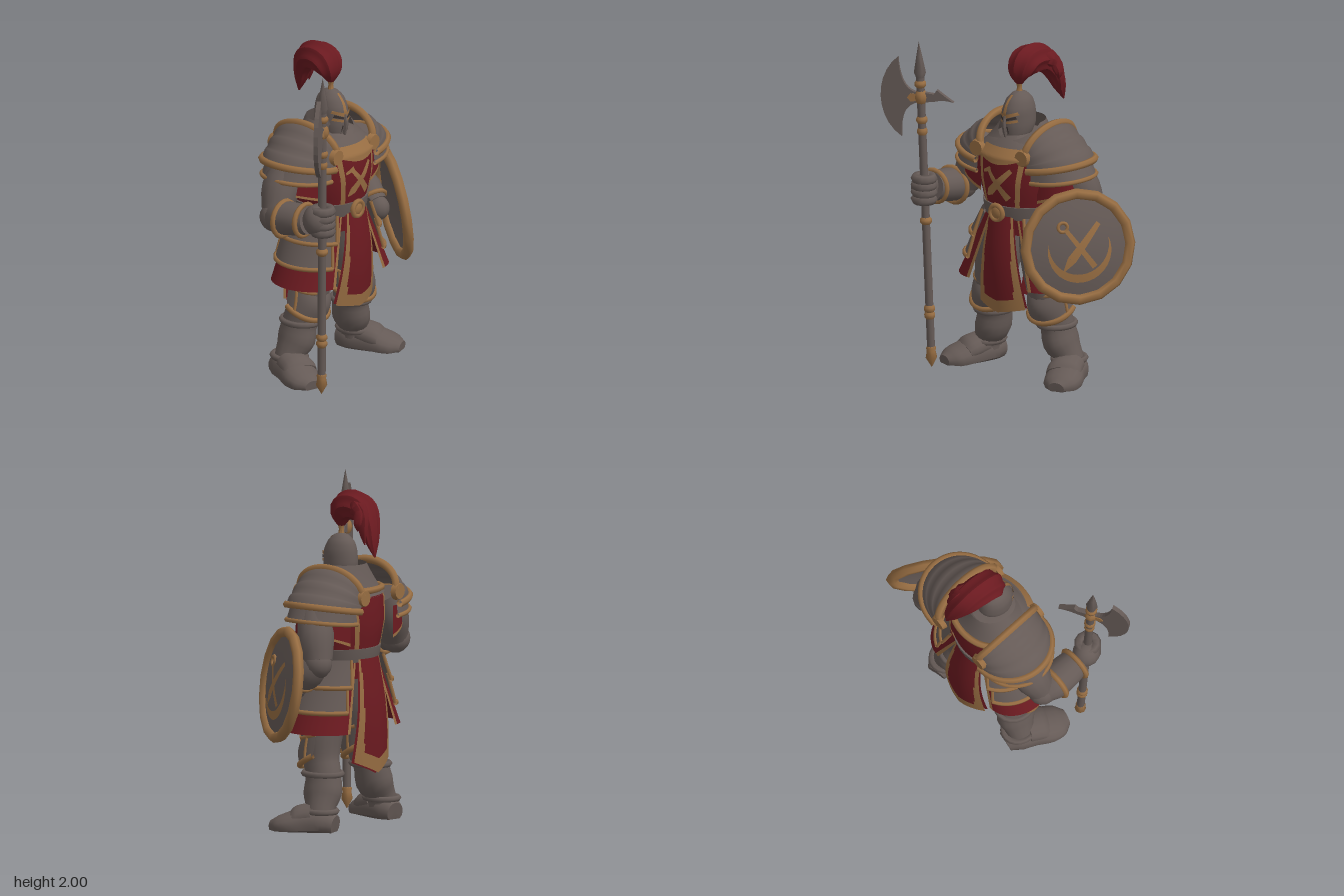
import * as THREE from 'three';
import { toCreasedNormals } from 'three/addons/utils/BufferGeometryUtils.js';

const V = (x, y, z) => new THREE.Vector3(x, y, z);
const mat = (name, color) => Object.assign(new THREE.MeshStandardMaterial({ color, side: THREE.DoubleSide }), { name });
const { sin, cos, PI, abs, sqrt, max } = Math;
const mix = (a, b, t) => a + (b - a) * t;
const UP = V(0, 1, 0);

export function createModel() {
  const steel = mat('steel', 0x655a56), gold = mat('gold', 0x976d42);
  const red = mat('redCloth', 0x6b1a20), dark = mat('darkOpening', 0x3a3230);
  const root = new THREE.Group();
  const group = (name, p, parent = root) => {
    const g = new THREE.Group();
    g.name = name; g.position.set(...p); parent.add(g);
    return g;
  };
  const add = (name, geo, m, parent = root, p = [0, 0, 0]) => {
    const mesh = new THREE.Mesh(geo, m);
    mesh.name = name; mesh.position.set(...p); parent.add(mesh);
    return mesh;
  };
  const ball = (name, m, p, s) => add(name, new THREE.SphereGeometry(1, 14, 10), m, root, p).scale.set(...s);
  const ring = (name, m, p, r, tube, parent = root, seg = 20) => add(name, new THREE.TorusGeometry(r, tube, 6, seg), m, parent, p);
  const build = (pos, idx) => {
    const g = new THREE.BufferGeometry();
    g.setAttribute('position', new THREE.Float32BufferAttribute(pos, 3));
    g.setIndex(idx);
    return g;
  };

  // Solid from rows [x, y, z, radiusA, radiusB] along a path, kept above the floor
  function sweep(name, rows, m, { ref = V(0, 0, 1), k = 3, n = 16, ripple = 0, axis = null, parent = root } = {}) {
    const path = new THREE.CatmullRomCurve3(rows.map(r => V(r[0], r[1], r[2])));
    const size = new THREE.CatmullRomCurve3(rows.map(r => V(r[3], r[4], 0)));
    const count = (rows.length - 1) * k, last = count * n, pos = [], idx = [];
    const P = Array.from({ length: count + 1 }, (_, i) => path.getPoint(i / count));
    P.forEach((p, i) => {
      const t = axis || P[Math.min(i + 1, count)].clone().sub(P[max(i - 1, 0)]).normalize();
      const u = ref.clone().cross(t).normalize(), v = t.clone().cross(u), s = size.getPoint(i / count);
      for (let j = 0; j < n; j++) {
        const a = j / n * 2 * PI, w = 1 + ripple * cos(8 * a);
        const q = p.clone().addScaledVector(u, s.x * w * cos(a)).addScaledVector(v, s.y * w * sin(a));
        pos.push(q.x, max(0, q.y), q.z);
        const b = i * n + j, c = i * n + (j + 1) % n;
        if (i < count) idx.push(b, c, c + n, b, c + n, b + n);
      }
    });
    const e = pos.length / 3;
    pos.push(...P[0].toArray(), ...P[count].toArray());
    for (let j = 0; j < n; j++) idx.push(e, (j + 1) % n, j, e + 1, last + j, last + (j + 1) % n);
    add(name, toCreasedNormals(build(pos, idx), 0.7), m, parent);
  }

  // Curved sheet f(u, v) -> [x, y, z]; pick(u, v) true marks the gold border
  function sheet(name, f, m, pick = () => false, nu = 20, nv = 10, parent = root) {
    const pos = [], parts = [[], []];
    for (let i = 0; i <= nv; i++) for (let j = 0; j <= nu; j++) {
      pos.push(...f(j / nu, i / nv));
      const a = i * (nu + 1) + j, b = a + nu + 1;
      if (i < nv && j < nu) parts[pick((j + 0.5) / nu, (i + 0.5) / nv) ? 1 : 0].push(a, b, b + 1, a, b + 1, a + 1);
    }
    const g = build(pos, parts.flat());
    g.addGroup(0, parts[0].length, 0);
    g.addGroup(parts[0].length, parts[1].length, 1);
    g.computeVertexNormals();
    add(name, g, [m, gold], parent);
  }
  // Raised gold trim along a function t -> [x, y, z]
  const trim = (name, f, r) => add(name, new THREE.TubeGeometry(
    new THREE.CatmullRomCurve3(Array.from({ length: 15 }, (_, i) => V(...f(i / 14)))), 28, r, 6), gold);
  // Thin tapered strip laid on a surface surf(x, y) -> z
  const strip = (name, [x0, y0, x1, y1, w0, w1], surf, parent = root, m = gold) => sheet(name, (u, v) => {
    const l = Math.hypot(x1 - x0, y1 - y0), w = mix(w0, w1, v) * (u - 0.5) / l;
    const x = mix(x0, x1, v) + (y0 - y1) * w, y = mix(y0, y1, v) + (x1 - x0) * w;
    return [x, y, surf(x, y)];
  }, m, undefined, 4, 10, parent);

  // Torso rows: height, half width, half depth
  const body = [[0.88, 0.2, 0.18], [1, 0.21, 0.195], [1.1, 0.24, 0.215], [1.22, 0.275, 0.23], [1.36, 0.28, 0.215], [1.42, 0.21, 0.17]];
  const mid = -0.075, upright = { k: 1, n: 32, axis: UP };
  const stack = (name, rows, m) => sweep(name, rows.map(([y, a, b]) => [0, y, mid, a, b]), m, upright);
  stack('torso', body.slice(0, 5), red);
  stack('upperChest', [[1.355, 0.281, 0.216], [1.42, 0.215, 0.175], [1.47, 0.13, 0.12]], steel);
  stack('belt', [[0.98, 0.222, 0.207], [1.02, 0.232, 0.215], [1.06, 0.24, 0.218]], steel);
  ring('buckleRing', gold, [-0.015, 1.015, 0.145], 0.045, 0.016);
  ball('buckle', gold, [-0.015, 1.015, 0.14], [0.042, 0.042, 0.02]);
  const onBody = s => (x, y) => {
    const i = max(1, body.findIndex(r => r[0] >= y)), [p, q] = [body[i - 1], body[i]];
    const t = (y - p[0]) / (q[0] - p[0]), a = mix(p[1], q[1], t), b = mix(p[2], q[2], t);
    return mid + s * (b * sqrt(max(0, 1 - (x / a) ** 2)) + 0.008);
  };
  for (const s of [1, -1]) for (const x of [-1, 1]) strip('tabardStripe', [x * 0.155, 1.38, x * 0.11, 1.03, 0.032, 0.025], onBody(s));
  // Crossed blades on the chest
  for (const b of [[0.09, 1.29, -0.06, 1.14, 0.028, 0.05], [-0.06, 1.14, -0.09, 1.11, 0.05, 0.01], [-0.07, 1.27, 0.07, 1.11, 0.025, 0.045], [-0.115, 1.255, -0.055, 1.28, 0.015, 0.03]])
    strip('chestBlade', b, onBody(1));
  // Neck guard, high at the back, with a gold gorget in front
  sheet('neckGuard', (u, v) => {
    const a = u * 2 * PI, w = v ** 0.8, top = 1.545 - 0.1 * max(0, sin(a));
    return [cos(a) * mix(0.285, 0.135, w), mix(1.365, top, v), mid + sin(a) * mix(0.222, 0.145, w)];
  }, steel, undefined, 32);
  trim('backCollarTrim', t => [-0.19 * cos(t * PI), 1.4, mid - 0.1 - 0.12 * sin(t * PI)], 0.02);
  sheet('gorget', (u, v) => {
    const x = (u - 0.5) * mix(0.27, 0.32, v), y = mix(1.415, 1.36 - 0.04 * cos((u - 0.5) * PI), v);
    return [x, y, onBody(1)(x, y) + 0.018];
  }, gold);

  // Helmet with face guard
  const head = group('head', [-0.01, 0, -0.055]);
  head.rotation.y = -0.12;
  sweep('helmet', [[0, 1.41, 0.045, 0.03, 0.045], [0, 1.46, 0.015, 0.075, 0.09], [0, 1.53, 0, 0.088, 0.112], [0, 1.61, 0, 0.086, 0.108], [0, 1.67, -0.005, 0.068, 0.085], [0, 1.705, -0.005, 0.038, 0.048], [0, 1.72, -0.005, 0.006, 0.008]], steel, { parent: head, n: 20, axis: UP });
  const face = (x, y) => (y > 1.61 ? 0.108 - (y - 1.61) ** 2 * 7.2 : 0.113 - max(0, 1.53 - y) * 0.22) * sqrt(max(0.05, 1 - (x / 0.09) ** 2)) + 0.004;
  strip('crestStrip', [0, 1.7, 0, 1.585, 0.014, 0.026], face, head);
  for (const s of [-1, 1]) {
    strip('brow', [0, 1.58, s * 0.072, 1.605, 0.022, 0.018], face, head);
    strip('eyeSlit', [s * 0.012, 1.563, s * 0.064, 1.58, 0.012, 0.018], face, head, dark);
    strip('cheekTrim', [s * 0.012, 1.545, s * 0.07, 1.56, 0.014, 0.016], face, head);
    strip('breathSlit', [s * 0.016, 1.52, s * 0.02, 1.465, 0.008, 0.005], face, head, dark);
  }
  sweep('noseGuard', [[0, 1.44, 0.1, 0.01, 0.012], [0, 1.53, 0.12, 0.012, 0.012], [0, 1.585, 0.112, 0.009, 0.01]], steel, { parent: head, n: 6 });
  // Plume
  sweep('plumeSocket', [[-0.01, 1.7, -0.06, 0.022, 0.022], [-0.01, 1.74, -0.06, 0.014, 0.014], [-0.01, 1.78, -0.058, 0.026, 0.026]], gold, { k: 2, n: 8 });
  sweep('plume', [[-0.01, 1.76, -0.06, 0.02, 0.02], [-0.01, 1.82, -0.065, 0.06, 0.07], [-0.005, 1.875, -0.1, 0.085, 0.09], [0.005, 1.892, -0.17, 0.085, 0.088], [0.02, 1.865, -0.25, 0.075, 0.08], [0.045, 1.78, -0.31, 0.05, 0.06], [0.065, 1.69, -0.34, 0.032, 0.04], [0.075, 1.61, -0.365, 0.004, 0.005]], red, { ref: V(1, 0, 0), n: 32, ripple: 0.07 });
  for (const [x, y, z] of [[0.1, 1.68, -0.31], [0.115, 1.76, -0.27]])
    sweep('plumeLock', [[x * 0.4, 1.91, -0.19, 0.04, 0.035], [x * 0.75, 1.86, mix(-0.26, z, 0.4), 0.04, 0.035], [x, mix(y, 1.84, 0.5), mix(-0.28, z, 0.7), 0.03, 0.025], [x, y, z, 0.003, 0.003]], red, { ref: V(1, 0, 0), n: 8 });

  // Tabard tails with widening hems, and their plain linings
  const tail = (name, z0, z1, y1, tip, w0, w1, s, border) => sheet(name, (u, v) => {
    const c = 2 * u - 1;
    return [c * mix(w0, w1, v), mix(1.0, mix(tip, y1, abs(c)), v), mix(z0, z1, v) + s * (0.025 * sin(v * PI) - mix(0.025, 0.05, v) * c * c)];
  }, red, border, 32, 24);
  const hem = (u, v) => abs(2 * u - 1) > mix(0.87, 0.68, v) || v > 0.88;
  tail('frontTail', 0.15, 0.155, 0.445, 0.41, 0.09, 0.17, 1, hem);
  tail('frontTailLining', 0.14, 0.135, 0.45, 0.415, 0.09, 0.168, 1);
  tail('backTail', -0.29, -0.335, 0.4, 0.325, 0.1, 0.17, -1, hem);
  tail('backTailLining', -0.28, -0.315, 0.395, 0.32, 0.1, 0.17, -1);

  for (const s of [-1, 1]) {
    // Shoulder plates, ridged in three bands, front to back over the arm
    const dome = (u, v) => {
      const a = u * PI, h = mix(v, sin(v * PI / 2), 0.2), d = mix(v, 1 - cos(v * PI / 2), 0.2), k = sin(a) ** 0.9;
      return [s * mix(0.165 + 0.04 * sin(a), 0.19 + 0.255 * k, h), mix(1.39 + 0.15 * sin(a), 1.3 + 0.045 * sin(a), d) + 0.014 * abs(sin(3 * PI * v)), -0.115 + mix(0.225, 0.235, v) * cos(a)];
    };
    sheet('shoulderPlate', dome, steel, undefined, 24, 12);
    trim('shoulderInnerTrim', t => dome(t, 0), 0.024);
    trim('shoulderOuterTrim', t => dome(t, 1), 0.022);
    const flare = (u, v) => [s * (0.2 + mix(0.21, 0.26, v) * sin(u * PI) ** 0.8), mix(1.34, 1.225 + 0.03 * sin(u * PI), v), -0.115 + mix(0.2, 0.215, v) * cos(u * PI)];
    sheet('lowerShoulderPlate', flare, steel);
    trim('lowerShoulderTrim', t => flare(t, 1), 0.014);
    sheet('sleeve', (u, v) => [s * (0.21 + mix(0.2, 0.225, v) * sin(u * PI)), mix(1.28, 1.09 + 0.08 * sin(u * PI), v), -0.12 + 0.168 * cos(u * PI)], red, (u, v) => v > 0.88);
    for (const z of [0.12, -0.345])
      add('medallion', new THREE.CylinderGeometry(0.046, 0.054, 0.03, 12), gold, root, [s * 0.17 - 0.012, 1.375, z]).rotation.x = z > 0 ? PI / 2 : -PI / 2;
    // Side skirt and hip plates
    const flap = (y0, y1, x0, x1, w0, w1, d0, d1, a0, a1) => (u, v) => {
      const a = mix(a0, a1, u);
      return [s * (mix(x0, x1, v) + mix(w0, w1, v) * sin(a)), mix(y0, y1, v), mid + mix(d0, d1, v) * cos(a)];
    };
    sheet('sideSkirt', flap(0.98, 0.575, 0.1, 0.22, 0.1, 0.185, 0.17, 0.22, 0, PI), red, u => u < 0.05 || u > 0.95, 24, 8);
    for (const [y0, y1, x, w0, w1] of [[0.88, 0.7, 0.14, 0.14, 0.225], [1.0, 0.845, 0.1, 0.13, 0.22]]) {
      const f = flap(y0, y1, x, x, w0, w1, 0.2, 0.235, 0.45, 2.7);
      sheet('hipPlate', f, steel);
      trim('hipPlateTrim', t => f(t, 1), 0.014);
      for (const u of [0, 1]) trim('hipPlateSideTrim', t => f(u, t), 0.01);
    }
    // Leg, knee guard and boot
    sweep('leg', [[s * 0.13, 0.95, -0.07, 0.11, 0.14], [s * 0.165, 0.72, -0.07, 0.135, 0.14], [s * 0.2, 0.53, -0.07, 0.12, 0.125], [s * 0.22, 0.4, -0.085, 0.1, 0.11], [s * 0.235, 0.32, -0.11, 0.095, 0.11], [s * 0.255, 0.22, -0.12, 0.1, 0.12], [s * 0.3, 0.13, -0.135, 0.082, 0.09], [s * 0.315, 0.05, -0.135, 0.09, 0.095]], steel);
    const knee = (u, v) => {
      const a = mix(-0.25, PI + 0.25, u);
      return [s * (mix(0.2, 0.215, v) + mix(0.13, 0.14, v) * cos(a)), mix(0.56 - 0.035 * sin(a), 0.43 - 0.07 * sin(a), v), -0.085 + (0.125 + 0.025 * sin(v * PI)) * sin(a)];
    };
    sheet('kneeGuard', knee, steel);
    trim('kneeTopTrim', t => knee(t, 0), 0.012);
    trim('kneeBottomTrim', t => knee(t, 1), 0.018);
    for (const u of [0.12, 0.88]) trim('kneeSideTrim', t => knee(u, t), 0.01);
    for (const [x, y, z, r] of [[0.235, 0.33, -0.105, 0.1], [0.305, 0.12, -0.135, 0.088]]) {
      const b = ring('legBand', steel, [s * x, y, z], r, 0.018);
      b.rotation.x = PI / 2; b.scale.y = 1.15;
    }
    sweep('boot', [[s * 0.295, 0.04, -0.24, 0.06, 0.06], [s * 0.31, 0.05, -0.17, 0.095, 0.09], [s * 0.345, 0.05, -0.07, 0.105, 0.095], [s * 0.385, 0.035, 0.02, 0.115, 0.075], [s * 0.405, 0.025, 0.08, 0.1, 0.06], [s * 0.42, 0.02, 0.13, 0.05, 0.035]], steel, { ref: UP });
    sweep('bootPlate', [[s * 0.325, 0.1, -0.11, 0.095, 0.07], [s * 0.355, 0.08, -0.03, 0.105, 0.07], [s * 0.37, 0.065, 0.0, 0.105, 0.055]], steel, { ref: UP });
  }

  // Right arm, gripping the polearm
  sweep('rightUpperArm', [[-0.32, 1.32, -0.12, 0.09, 0.1], [-0.39, 1.19, -0.13, 0.11, 0.115], [-0.46, 1.05, -0.11, 0.085, 0.085]], steel);
  ball('rightElbow', steel, [-0.475, 1.04, -0.11], [0.085, 0.09, 0.09]);
  sweep('rightForearm', [[-0.48, 1.04, -0.13, 0.07, 0.07], [-0.485, 1.055, -0.03, 0.105, 0.1], [-0.49, 1.07, 0.07, 0.1, 0.095], [-0.49, 1.085, 0.16, 0.085, 0.085]], steel, { ref: UP });
  ring('elbowBand', gold, [-0.485, 1.05, -0.03], 0.104, 0.018);
  ring('wristBand', gold, [-0.495, 1.08, 0.13], 0.095, 0.016);
  ball('rightHand', steel, [-0.495, 1.1, 0.22], [0.08, 0.095, 0.085]);
  for (let i = 0; i < 4; i++) ring('finger', steel, [-0.475, 1.035 + i * 0.042, 0.25], 0.05, 0.03, root, 12).rotation.x = PI / 2;
  // Left arm, behind the shield
  sweep('leftUpperArm', [[0.32, 1.32, -0.12, 0.09, 0.1], [0.38, 1.17, -0.16, 0.11, 0.11], [0.41, 1.02, -0.2, 0.085, 0.085]], steel);
  ball('leftElbow', steel, [0.415, 1.01, -0.2], [0.085, 0.09, 0.085]);
  sweep('leftForearm', [[0.42, 1.02, -0.2, 0.07, 0.07], [0.42, 0.95, -0.14, 0.095, 0.09], [0.4, 0.88, -0.05, 0.07, 0.07]], steel, { ref: UP });
  ring('leftWristBand', gold, [0.408, 0.905, -0.08], 0.078, 0.014).lookAt(0.36, 0.78, 0.06);
  ball('leftHand', steel, [0.395, 0.86, -0.03], [0.065, 0.075, 0.07]);

  // Round shield with a broad rim and crossed emblem
  const shield = group('shield', [0.487, 0.875, 0.01]);
  shield.lookAt(1.287, 1.015, 0.61);
  const bulge = (x, y) => 0.045 - 0.5 * (x * x + y * y), onShield = (x, y) => bulge(x, y) + 0.007;
  add('shieldFace', new THREE.LatheGeometry([0, 0.08, 0.16, 0.24, 0.31].map(r => new THREE.Vector2(r, bulge(r, 0))), 32).rotateX(PI / 2), steel, shield);
  ring('shieldRim', gold, [0, 0, 0], 0.314, 0.032, shield, 16);
  for (const b of [[0.12, 0.14, -0.05, -0.07, 0.03, 0.055], [-0.05, -0.07, -0.1, -0.14, 0.055, 0.006], [-0.08, 0.11, 0.09, -0.12, 0.025, 0.035]])
    strip('shieldBlade', b, onShield, shield);
  sheet('shieldCrescent', (u, v) => {
    const a = mix(PI * 0.95, PI * 2.1, u), r = 0.185 + (v - 0.5) * 0.05 * sin(u * PI), x = r * cos(a), y = r * sin(a);
    return [x, y, onShield(x, y)];
  }, gold, undefined, 20, 2, shield);
  ring('shieldLoop', gold, [-0.095, 0.125, 0.035], 0.028, 0.01, shield);

  // Polearm, slightly leaning
  const pole = group('polearm', [-0.444, 0, 0.217]);
  pole.quaternion.setFromUnitVectors(UP, V(-0.056, 2, 0.053).normalize());
  const turned = (name, m, pts, n = 10) => add(name, new THREE.LatheGeometry(pts.map(p => new THREE.Vector2(...p)), n), m, pole);
  turned('shaft', steel, [[0.024, 0.06], [0.025, 1.78]]);
  turned('spearPoint', steel, [[0.018, 1.76], [0.036, 1.81], [0.018, 1.91], [0, 2]], 6);
  turned('buttSpike', gold, [[0, 0], [0.034, 0.06], [0.026, 0.1], [0.03, 0.12], [0.024, 0.13]], 8);
  for (const [y, r] of [[0.32, 0.033], [0.36, 0.033], [0.9, 0.036], [1.45, 0.031], [1.52, 0.034], [1.74, 0.035]])
    turned('collar', gold, [[0.024, y - 0.022], [r, y - 0.008], [r, y + 0.008], [0.024, y + 0.022]]);
  turned('socket', gold, [[0.024, 1.62], [0.034, 1.635], [0.04, 1.66], [0.034, 1.685], [0.024, 1.7]], 8);
  const blades = group('axeHead', [0, 0, 0], pole);
  blades.rotation.y = -2.64;
  const plate = (name, m, depth, shape) => add(name, new THREE.ExtrudeGeometry(shape, { depth, bevelEnabled: false, curveSegments: 10 }), m, blades, [0, 0, -depth / 2]);
  plate('axeBlade', steel, 0.026, new THREE.Shape().moveTo(0.02, 1.69).quadraticCurveTo(0.12, 1.71, 0.125, 1.905)
    .bezierCurveTo(0.275, 1.8, 0.275, 1.53, 0.12, 1.42).quadraticCurveTo(0.13, 1.6, 0.02, 1.63));
  plate('bladeRoot', gold, 0.036, new THREE.Shape().moveTo(0.02, 1.68).lineTo(0.06, 1.685).lineTo(0.08, 1.66).lineTo(0.06, 1.635).lineTo(0.02, 1.64));
  plate('backSpike', steel, 0.03, new THREE.Shape().moveTo(-0.02, 1.63).lineTo(-0.08, 1.635).quadraticCurveTo(-0.14, 1.65, -0.195, 1.63)
    .quadraticCurveTo(-0.14, 1.67, -0.1, 1.705).lineTo(-0.08, 1.68).lineTo(-0.02, 1.69));
  return root;
}
